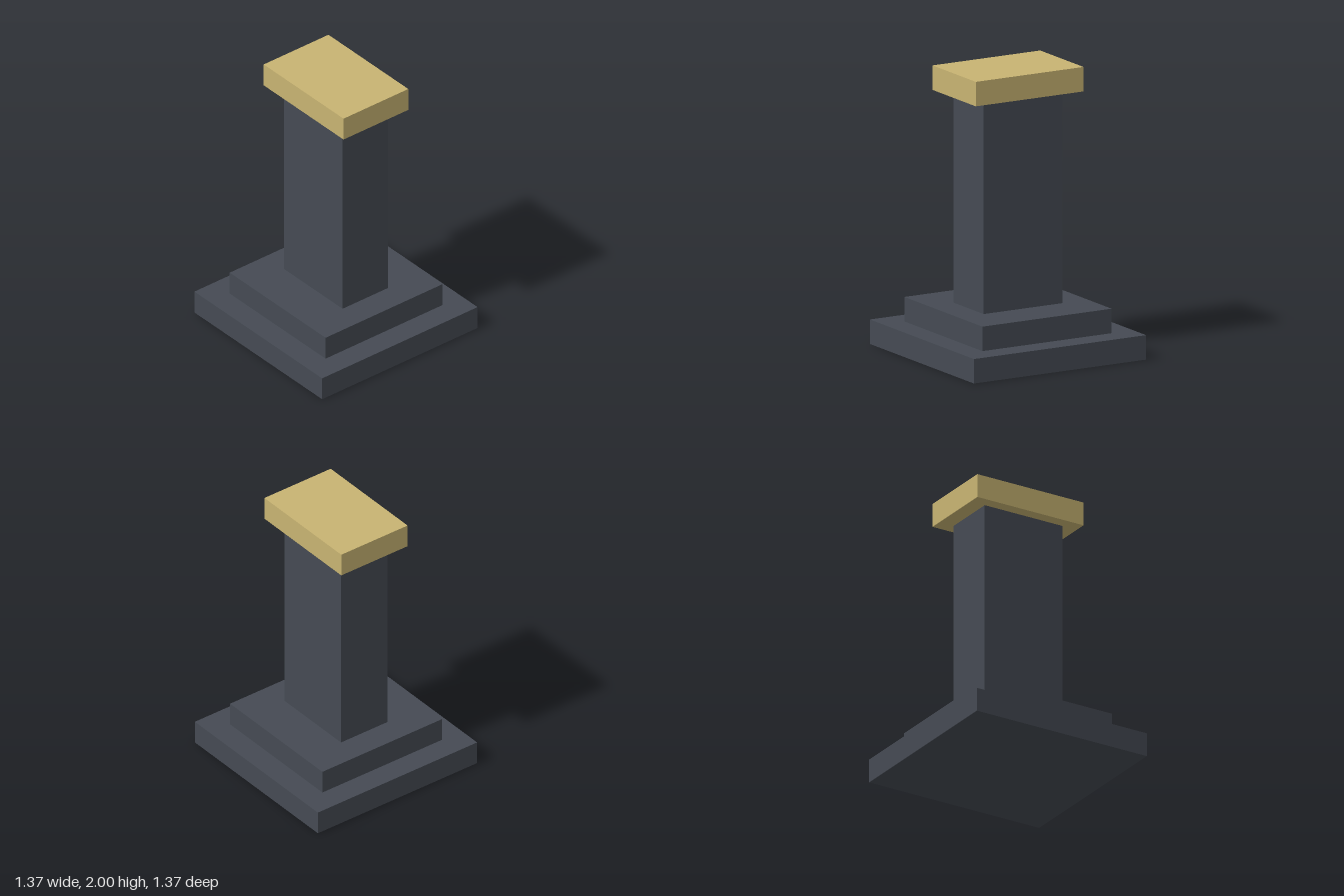
import * as THREE from 'three';

export function createModel() {
  const group = new THREE.Group();
  const slate = new THREE.MeshStandardMaterial({ name: 'dark slate', color: 0x454a53 });
  const gold = new THREE.MeshStandardMaterial({ name: 'pale gold', color: 0xc8b472 });

  // Stacked blocks, bottom to top: name, width, height, depth, material
  const blocks = [
    ['lowerStep', 1.371, 0.1715, 1.371, slate],
    ['upperStep', 1.029, 0.1715, 1.029, slate],
    ['pillar', 0.629, 1.4855, 0.4, slate],
    ['cap', 0.857, 0.1715, 0.571, gold],
  ];

  let y = 0;
  for (const [name, width, height, depth, material] of blocks) {
    const mesh = new THREE.Mesh(new THREE.BoxGeometry(width, height, depth), material);
    mesh.name = name;
    mesh.position.y = y + height / 2;
    group.add(mesh);
    y += height;
  }

  group.name = 'pedestal';
  return group;
}
